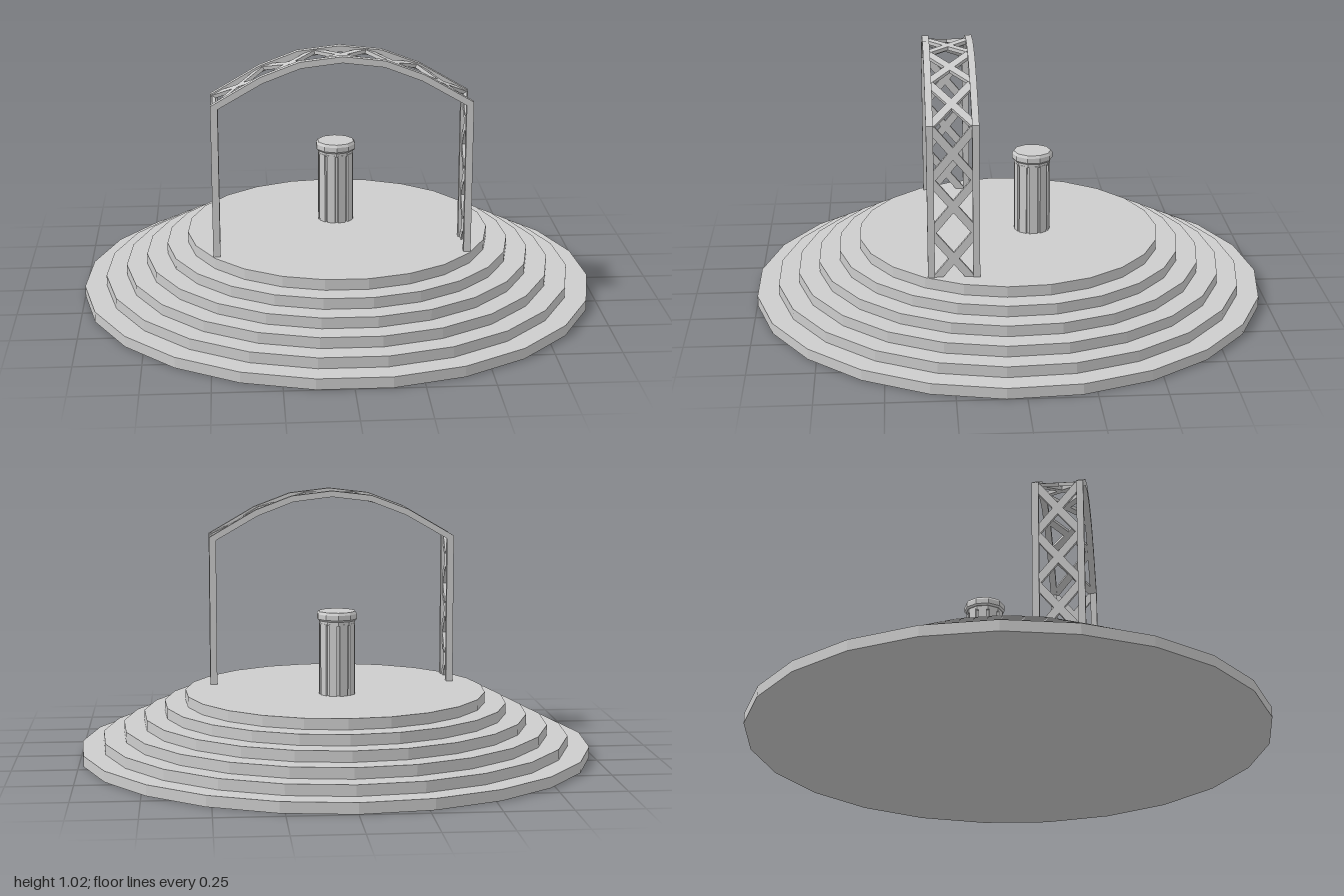
import * as THREE from 'three';

const stone = new THREE.MeshStandardMaterial({ color: 0xcccccc });
stone.name = 'light grey stone';

function addMesh(parent, name, geometry, x = 0, y = 0, z = 0) {
  const faceted = geometry.index ? geometry.toNonIndexed() : geometry;
  faceted.computeVertexNormals();
  const mesh = new THREE.Mesh(faceted, stone);
  mesh.name = name;
  mesh.position.set(x, y, z);
  parent.add(mesh);
  return mesh;
}

// Flat bar from a to b, its broad face turned towards normal
function addBar(parent, name, a, b, normal, width, thickness) {
  const u = b.clone().sub(a);
  const length = u.length();
  u.normalize();
  const side = new THREE.Vector3().crossVectors(normal, u);
  const mesh = addMesh(parent, name, new THREE.BoxGeometry(length, width, thickness));
  mesh.quaternion.setFromRotationMatrix(new THREE.Matrix4().makeBasis(u, side, normal));
  mesh.position.copy(a).add(b).multiplyScalar(0.5);
}

// Six stacked round steps
function createSteps() {
  const steps = new THREE.Group();
  steps.name = 'steps';
  const h = 0.25 / 6;
  [1.002, 0.917, 0.836, 0.755, 0.674, 0.592].forEach((r, i) => {
    const geometry = new THREE.CylinderGeometry(r, r, h, 23).rotateY(Math.PI);
    addMesh(steps, 'step' + (i + 1), geometry, 0, h * (i + 0.5), 0.005);
  });
  return steps;
}

// Fluted pillar with a bevelled cap
function createPillar() {
  const pillar = new THREE.Group();
  pillar.name = 'pillar';
  pillar.position.set(0, 0.25, -0.09);
  const sides = 10;
  const points = [];
  for (let i = 0; i < sides; i++) {
    const mid = (i / sides) * Math.PI * 2;
    for (const [offset, r] of [[-0.24, 0.062], [-0.23, 0.071], [0.23, 0.071], [0.24, 0.062]]) {
      points.push(new THREE.Vector2(Math.cos(mid + offset) * r, Math.sin(mid + offset) * r));
    }
  }
  const shaft = new THREE.ExtrudeGeometry(new THREE.Shape(points), { depth: 0.28, bevelEnabled: false });
  addMesh(pillar, 'flutedShaft', shaft.rotateX(-Math.PI / 2));
  addMesh(pillar, 'shaftCollar', new THREE.CylinderGeometry(0.071, 0.071, 0.02, sides), 0, 0.285, 0);
  const cap = [[0, 0.29], [0.074, 0.29], [0.08, 0.297], [0.08, 0.316], [0.073, 0.326], [0, 0.326]];
  addMesh(pillar, 'pillarCap', new THREE.LatheGeometry(cap.map(p => new THREE.Vector2(...p)), sides));
  return pillar;
}

// Two bent rails joined by crossed braces
function createArch() {
  const arch = new THREE.Group();
  arch.name = 'arch';
  const zMid = 0.237, halfGap = 0.084, depth = 0.026;
  const outer = [[0.49, 0.22], [0.49, 0.842], [0.305, 0.95], [0.16, 1.005], [0, 1.024]];
  const inner = [[0.463, 0.22], [0.463, 0.83], [0.297, 0.926], [0.155, 0.981], [0, 1.0]];
  const mirror = list => list.slice(0, -1).reverse().map(([x, y]) => [-x, y]);
  const outline = [...outer, ...mirror(outer), ...[...inner, ...mirror(inner)].reverse()];
  const shape = new THREE.Shape(outline.map(p => new THREE.Vector2(...p)));
  for (const side of [-1, 1]) {
    const rail = new THREE.ExtrudeGeometry(shape, { depth, bevelEnabled: false });
    addMesh(arch, side > 0 ? 'frontRail' : 'backRail', rail, 0, 0, zMid + side * halfGap - depth / 2);
  }

  // Stations along the rail centre line: up one post, over the arch, down the other
  const post = [0.22, 0.425, 0.63, 0.835].map(y => [-0.477, y]);
  const half = [...post, [-0.288, 0.943], [-0.096, 1.002]];
  const stations = [...half, ...half.map(([x, y]) => [-x, y]).reverse()];
  const across = new THREE.Vector3(0, 0, 1);
  for (let i = 0; i < stations.length - 1; i++) {
    const [a, b] = [stations[i], stations[i + 1]];
    const along = new THREE.Vector3(b[0] - a[0], b[1] - a[1], 0).normalize();
    const normal = new THREE.Vector3().crossVectors(across, along);
    for (const s of [-1, 1]) {
      addBar(arch, 'crossBrace',
        new THREE.Vector3(a[0], a[1], zMid - s * halfGap),
        new THREE.Vector3(b[0], b[1], zMid + s * halfGap),
        normal, 0.03, 0.014);
    }
  }
  return arch;
}

export function createModel() {
  const model = new THREE.Group();
  model.name = 'steppedPlatform';
  model.add(createSteps(), createPillar(), createArch());
  return model;
}
